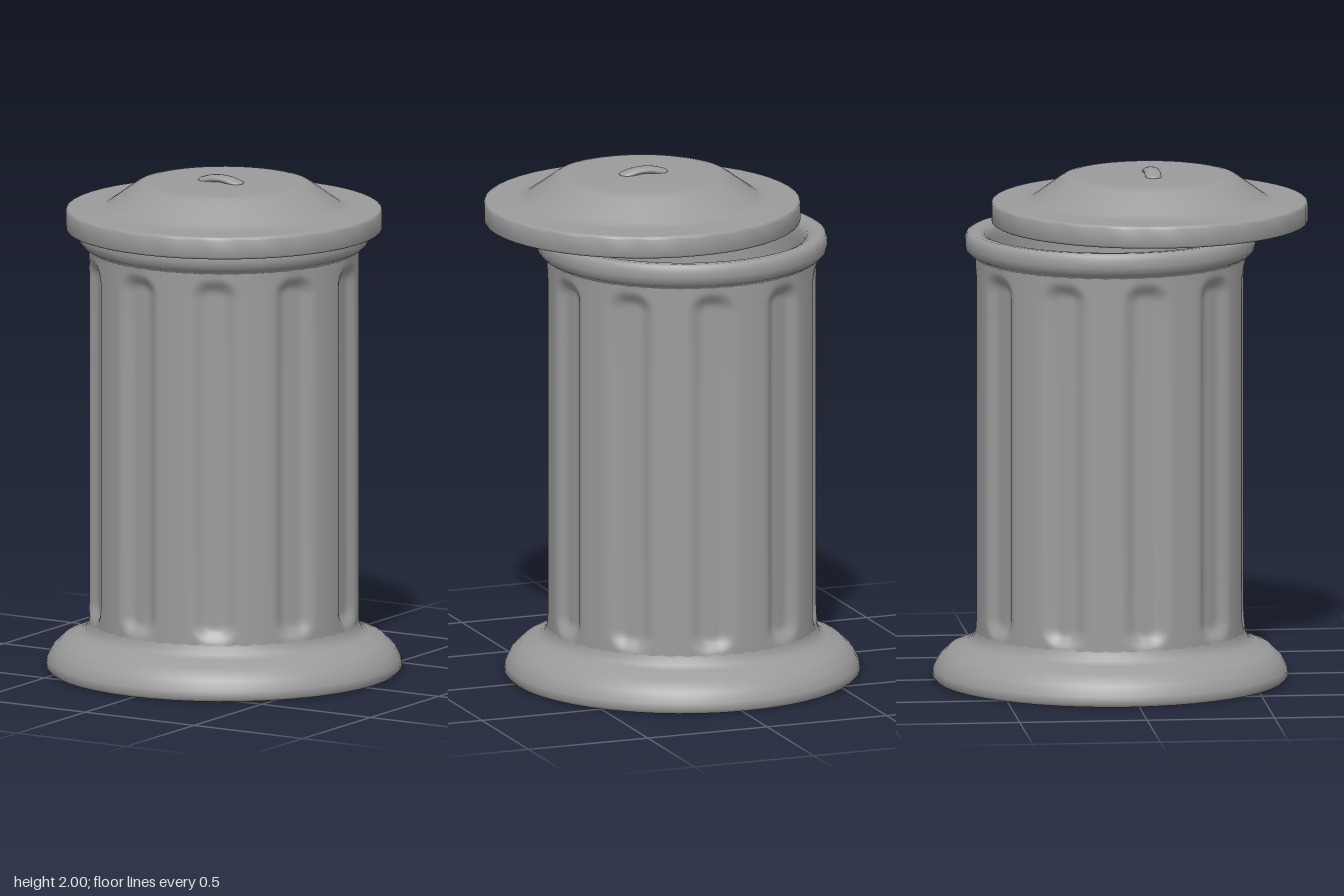
import * as THREE from 'three';
import { toCreasedNormals } from 'three/addons/utils/BufferGeometryUtils.js';

const material = new THREE.MeshStandardMaterial({ color: 0x9b9b9b, side: THREE.DoubleSide });

function addMesh(parent, name, geometry) {
  const mesh = new THREE.Mesh(geometry, material);
  mesh.name = name;
  parent.add(mesh);
  return mesh;
}

// Revolved part from [radius, height] pairs, with sharp edges kept
function turned(points, segments = 48) {
  const profile = points.map(([r, y]) => new THREE.Vector2(r, y));
  return toCreasedNormals(new THREE.LatheGeometry(profile, segments), 0.9);
}

// Cylinder wall with ten soft recessed flutes that have rounded ends
function flutedWall() {
  const radius = 0.527, bottom = 0.19, top = 1.65;
  const count = 10, offset = THREE.MathUtils.degToRad(-8);
  const halfWidth = 0.1, corner = 0.085, depth = 0.03, bevel = 0.065;
  const ends = [0, 0.012, 0.024, 0.036, 0.048, 0.06, 0.075, 0.09];
  const heights = [0.16, ...ends.map(e => bottom + e), 0.6, 1.2,
    ...ends.map(e => top - e).reverse(), 1.7];
  const geometry = new THREE.LatheGeometry(heights.map(y => new THREE.Vector2(radius, y)), 240);
  const pos = geometry.attributes.position;
  const step = Math.PI * 2 / count;
  for (let i = 0; i < pos.count; i++) {
    const y = pos.getY(i);
    const angle = Math.atan2(pos.getX(i), pos.getZ(i)) - offset;
    const across = Math.abs(angle - Math.round(angle / step) * step) * radius;
    // distance to the rounded outline of the flute
    const dx = across - halfWidth + corner;
    const dy = Math.abs(y - (bottom + top) / 2) - (top - bottom) / 2 + corner;
    const inside = corner - Math.hypot(Math.max(dx, 0), Math.max(dy, 0)) - Math.min(Math.max(dx, dy), 0);
    const k = 1 - depth * THREE.MathUtils.smoothstep(inside, 0, bevel) / radius;
    pos.setX(i, pos.getX(i) * k);
    pos.setZ(i, pos.getZ(i) * k);
  }
  return toCreasedNormals(geometry, 1.1);
}

export function createModel() {
  const model = new THREE.Group();
  model.name = 'trashCan';

  // Can body
  const can = new THREE.Group();
  can.name = 'can';
  can.position.set(-0.015, 0, -0.045);
  model.add(can);

  addMesh(can, 'base', turned([
    [0, 0], [0.685, 0], [0.695, 0.012], [0.692, 0.04], [0.672, 0.08], [0.63, 0.12],
    [0.565, 0.143], [0.542, 0.158], [0.53, 0.18], [0.526, 0.2],
  ]));
  addMesh(can, 'flutedWall', flutedWall());
  addMesh(can, 'rim', turned([
    [0.525, 1.66], [0.53, 1.675], [0.55, 1.685], [0.563, 1.7], [0.567, 1.72], [0.567, 1.745],
    [0.56, 1.765], [0.545, 1.773], [0.515, 1.771], [0.49, 1.76], [0.478, 1.735], [0.476, 1.7],
  ]));
  addMesh(can, 'innerWall', turned([[0.476, 1.7], [0.476, 0.08], [0, 0.08]]));

  // Lid resting off-centre over the rim
  const lid = new THREE.Group();
  lid.name = 'lid';
  lid.position.set(0.088, 0, 0.12);
  model.add(lid);

  addMesh(lid, 'lidUnderside', turned([[0, 1.94], [0.31, 1.94], [0.45, 1.845], [0.515, 1.783]]));
  addMesh(lid, 'lidShell', turned([
    [0.515, 1.783], [0.609, 1.783], [0.615, 1.786], [0.618, 1.792], [0.618, 1.86], [0.615, 1.867],
    [0.609, 1.87], [0.59, 1.871], [0.49, 1.873], [0.465, 1.877], [0.445, 1.89],
    [0.352, 1.957], [0.335, 1.967], [0.31, 1.972], [0.28, 1.973], [0, 1.973],
  ]));

  // Flattened arched handle with rounded ends
  const handle = new THREE.Group();
  handle.name = 'handle';
  handle.position.set(-0.008, 1.973, 0.008);
  handle.scale.y = 0.45;
  lid.add(handle);
  const arch = new THREE.CatmullRomCurve3([
    [-0.068, 0], [-0.035, 0.021], [0, 0.028], [0.035, 0.021], [0.068, 0],
  ].map(([x, y]) => new THREE.Vector3(x, y, 0)));
  addMesh(handle, 'handleGrip', new THREE.TubeGeometry(arch, 24, 0.032, 16));
  for (const side of [-1, 1]) {
    addMesh(handle, 'handleEnd', new THREE.SphereGeometry(0.032, 16, 12)).position.set(side * 0.068, 0, 0);
  }
  return model;
}
